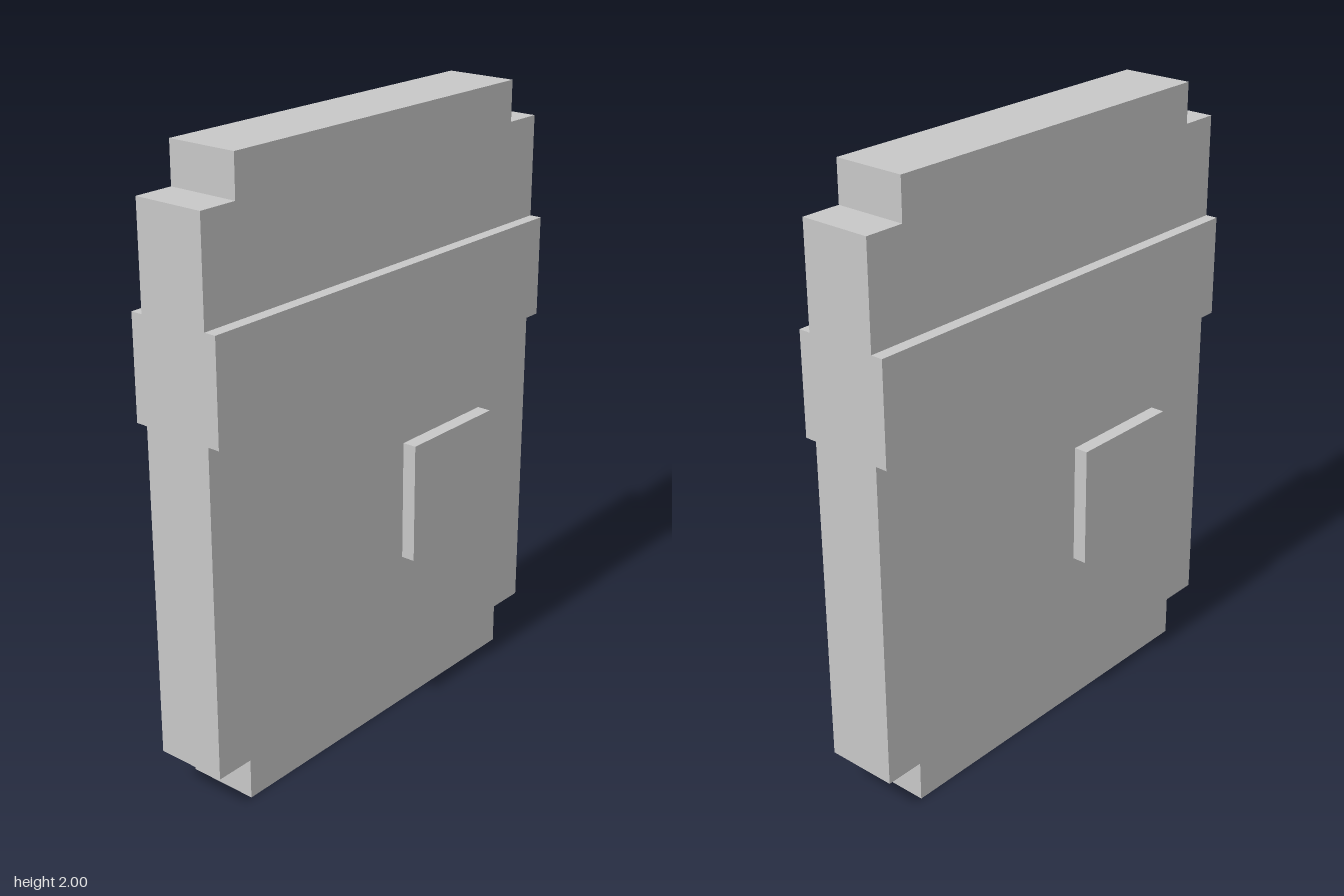
import * as THREE from 'three';

const HALF_W = 0.765, HALF_D = 0.12, HEIGHT = 2;
const NOTCH_X = 0.132, NOTCH_Y = 0.133;

export function createModel() {
  const model = new THREE.Group();
  model.name = 'notchedPanel';
  const grey = new THREE.MeshStandardMaterial({ color: 0xc8c8c8 });
  grey.name = 'lightGrey';

  const add = (name, geometry, parent = model) => {
    const mesh = new THREE.Mesh(geometry, grey);
    mesh.name = name;
    parent.add(mesh);
    return mesh;
  };

  // Slab with a square notch at each corner
  const inX = HALF_W - NOTCH_X, topY = HEIGHT - NOTCH_Y;
  const outline = new THREE.Shape([
    [-inX, 0], [inX, 0], [inX, NOTCH_Y], [HALF_W, NOTCH_Y],
    [HALF_W, topY], [inX, topY], [inX, HEIGHT], [-inX, HEIGHT],
    [-inX, topY], [-HALF_W, topY], [-HALF_W, NOTCH_Y], [-inX, NOTCH_Y],
  ].map(([x, y]) => new THREE.Vector2(x, y)));
  const slab = new THREE.ExtrudeGeometry(outline, { depth: HALF_D * 2, bevelEnabled: false });
  add('slab', slab.translate(0, 0, -HALF_D));

  // Raised band and square pad, repeated on the back by a half turn
  for (const side of ['front', 'back']) {
    const face = new THREE.Group();
    face.name = side + 'Face';
    face.rotation.y = side === 'front' ? 0 : Math.PI;
    model.add(face);

    const plate = (name, x, y, w, h, depth) =>
      add(name, new THREE.BoxGeometry(w, h, depth), face)
        .position.set(x, y, HALF_D + depth / 2);
    plate(side + 'Band', 0, 1.369, HALF_W * 2, 0.332, 0.04);
    plate(side + 'Pad', 0.3, 0.736, 0.4, 0.4, 0.047);
  }

  return model;
}
